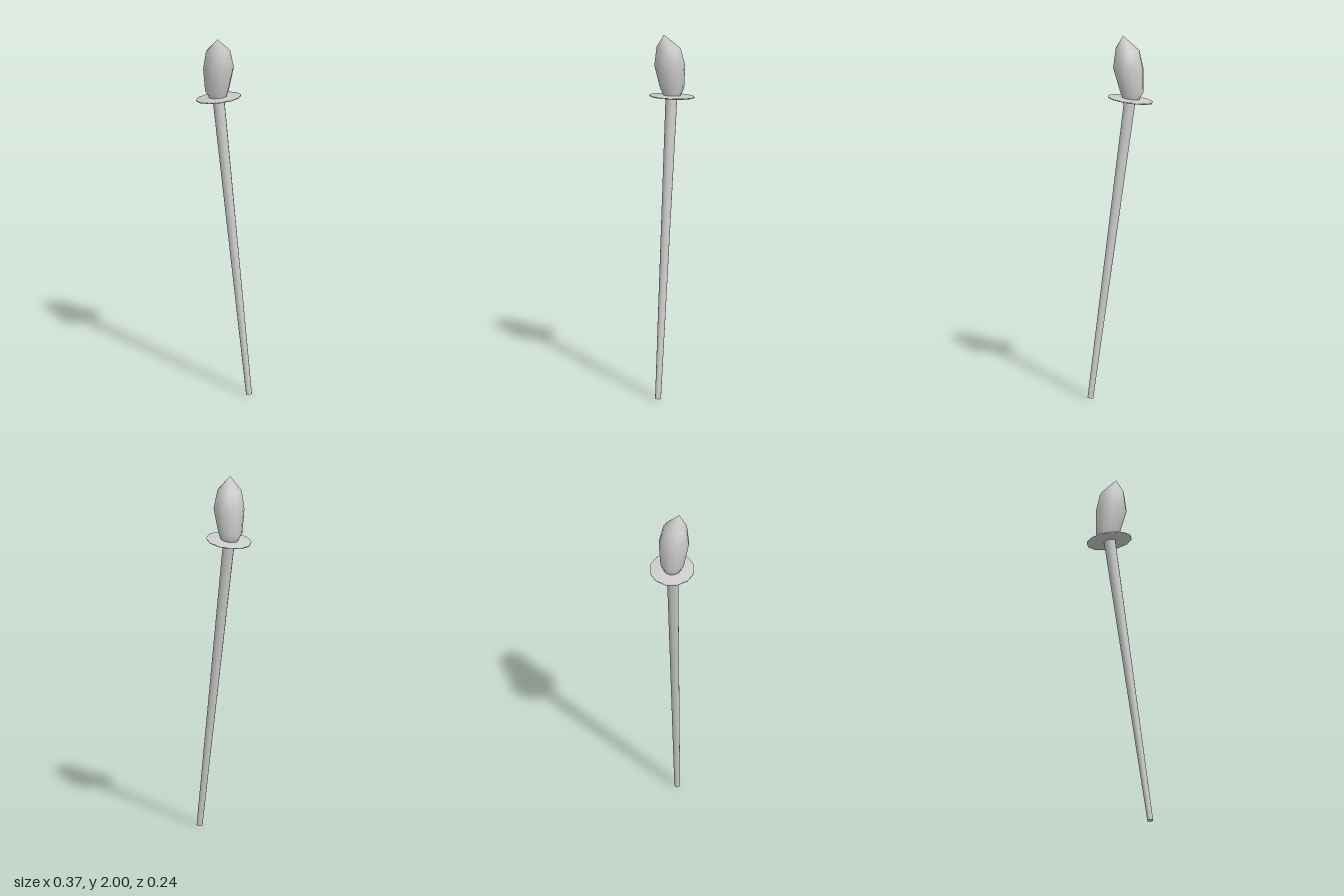
import * as THREE from 'three';
import { mergeVertices, toCreasedNormals } from 'three/addons/utils/BufferGeometryUtils.js';

const SIDES = 12;
const TURN = -Math.PI / 18;

// Skin a stack of tilted rings: [x, y, z, radius, slope along x, slope along z]
function loft(rings) {
  const positions = [];
  const index = [];
  for (const [x, y, z, r, sx, sz] of rings) {
    for (let j = 0; j < SIDES; j++) {
      const a = TURN + (j / SIDES) * Math.PI * 2;
      const dx = r * Math.cos(a);
      const dz = r * Math.sin(a);
      positions.push(x + dx, y + sx * dx + sz * dz, z + dz);
    }
  }
  for (let i = 0; i < rings.length - 1; i++) {
    for (let j = 0; j < SIDES; j++) {
      const k = (j + 1) % SIDES;
      const a = i * SIDES + j, b = i * SIDES + k;
      const c = a + SIDES, d = b + SIDES;
      // rings of zero radius are closed points
      if (rings[i][3] > 0) index.push(a, c, b);
      if (rings[i + 1][3] > 0) index.push(b, c, d);
    }
  }
  const geometry = new THREE.BufferGeometry();
  geometry.setAttribute('position', new THREE.Float32BufferAttribute(positions, 3));
  geometry.setIndex(index);
  const welded = mergeVertices(geometry);
  welded.computeVertexNormals();
  return welded;
}

export function createModel() {
  const group = new THREE.Group();
  const material = new THREE.MeshStandardMaterial({ color: 0xcccccc, side: THREE.DoubleSide });
  const add = (name, geometry) => {
    const mesh = new THREE.Mesh(geometry, material);
    mesh.name = name;
    group.add(mesh);
  };

  // Leaning handle, thinner towards its foot
  add('shaft', toCreasedNormals(loft([
    [0.167, 0.0025, 0.041, 0, 0.14, 0.02],
    [0.167, 0.0025, 0.041, 0.016, 0.14, 0.02],
    [-0.062, 1.645, 0.002, 0.032, 0.14, 0.02],
  ]), 0.9));

  // Thin round plate square to the handle
  add('guard', loft([
    [-0.062, 1.643, 0, 0.03, 0.15, 0.02],
    [-0.063, 1.645, -0.001, 0.123, 0.15, 0.02],
    [-0.063, 1.652, -0.001, 0.123, 0.15, 0.02],
    [-0.064, 1.655, 0, 0.045, 0.15, 0.02],
  ]));

  // Bulging flame with its tip bent aside
  add('flame', loft([
    [-0.066, 1.652, 0, 0.047, 0.15, 0.02],
    [-0.072, 1.695, 0, 0.066, 0.09, 0],
    [-0.056, 1.824, 0.01, 0.084, 0.05, 0],
    [-0.055, 1.925, 0.016, 0.066, 0.08, 0.06],
    [-0.042, 2.0, 0.04, 0, 0, 0],
  ]));
  return group;
}
